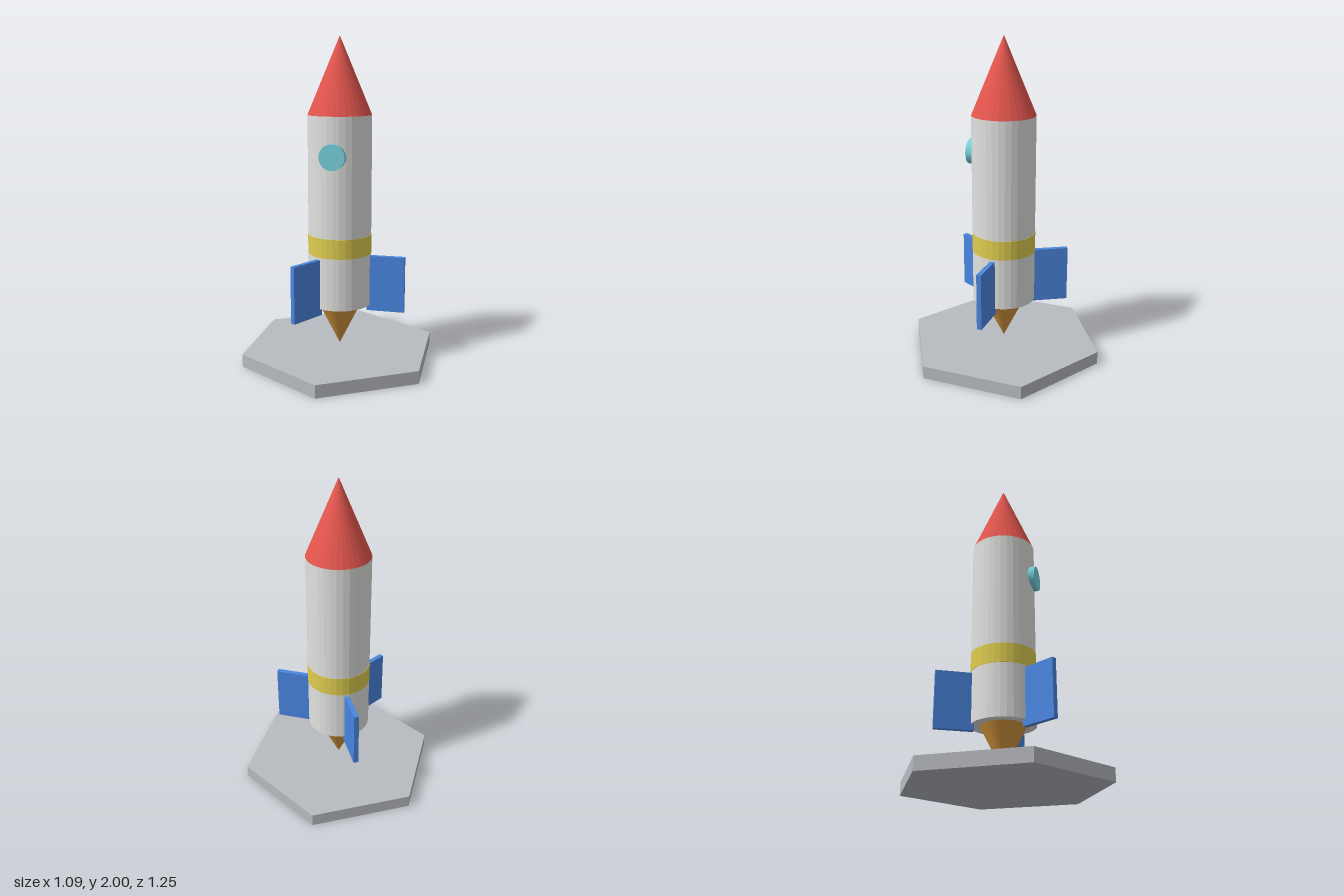
import * as THREE from 'three';

const material = (name, color, flat = true) => {
  const m = new THREE.MeshStandardMaterial({ color, flatShading: flat });
  m.name = name;
  return m;
};

export function createModel() {
  const white = material('hullWhite', 0xe2e2e0);
  const red = material('noseRed', 0xe4564e);
  const yellow = material('bandYellow', 0xdfce50);
  const blue = material('finBlue', 0x4a86e0);
  const teal = material('windowTeal', 0x78d2de);
  const orange = material('flameOrange', 0xd8983c);
  const grey = material('padGrey', 0xb8bbc0);

  const rocket = new THREE.Group();
  rocket.name = 'rocket';
  const SIDES = 32, R = 0.195;

  // Adds a round part spanning y0..y1
  const round = (name, mat, rBottom, rTop, y0, y1, sides = SIDES, open = false) => {
    const geometry = new THREE.CylinderGeometry(rTop, rBottom, y1 - y0, sides, 1, open);
    const mesh = new THREE.Mesh(geometry, mat);
    mesh.name = name;
    mesh.position.y = (y0 + y1) / 2;
    rocket.add(mesh);
    return mesh;
  };

  // Launch pad, hull, stripe, nose and exhaust cone
  round('launchPad', grey, 0.627, 0.627, 0, 0.08, 6);
  round('hull', white, R, R, 0.36, 1.535);
  round('hullBand', yellow, R + 0.002, R + 0.002, 0.685, 0.805);
  round('noseCone', red, R, 0, 1.535, 2);
  round('exhaustFlame', orange, 0, 0.137, 0.085, 0.361);

  // Round window protruding from the front
  const porthole = round('porthole', teal, 0.078, 0.078, 0, 0.06);
  porthole.rotation.x = Math.PI / 2;
  porthole.position.set(0, 1.3, 0.19);

  // Three fins spaced evenly around the hull
  const finGeometry = new THREE.BoxGeometry(0.234, 0.35, 0.03).translate(0.293, 0.495, 0);
  for (let i = 0; i < 3; i++) {
    const fin = new THREE.Mesh(finGeometry, blue);
    fin.name = `fin${i + 1}`;
    fin.rotation.y = (i * Math.PI * 2) / 3;
    rocket.add(fin);
  }

  return rocket;
}
